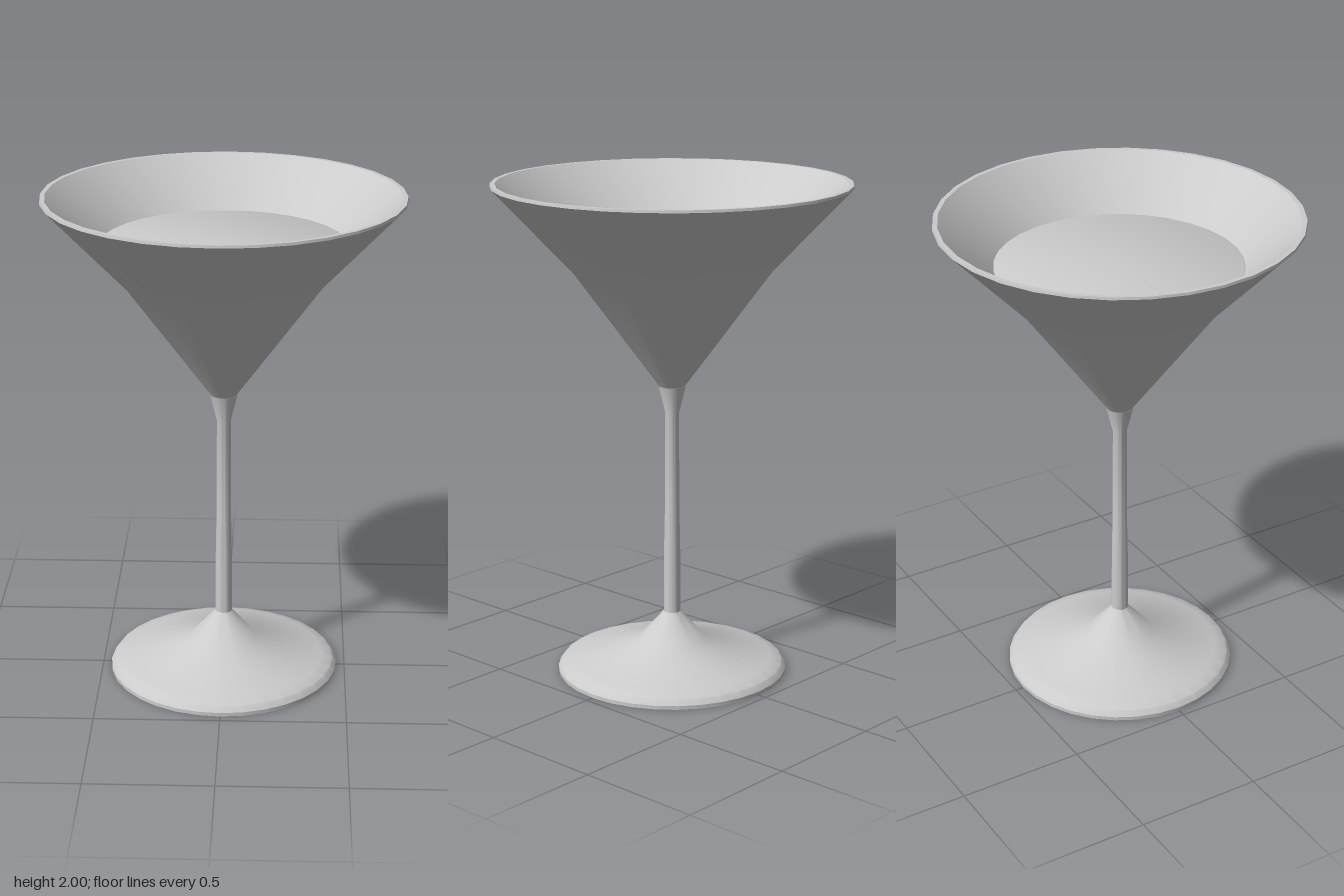
import * as THREE from 'three';
import { toCreasedNormals } from 'three/addons/utils/BufferGeometryUtils.js';

const SIDES = 32;

// Turned part from a radius/height profile, listed so that faces point outward
function turned(name, profile, material) {
  const points = profile.map(([r, y]) => new THREE.Vector2(r, y));
  const geometry = toCreasedNormals(new THREE.LatheGeometry(points, SIDES), 0.6);
  const mesh = new THREE.Mesh(geometry, material);
  mesh.name = name;
  return mesh;
}

export function createModel() {
  const group = new THREE.Group();
  group.name = 'cocktailGlass';
  const material = new THREE.MeshStandardMaterial({ color: 0xcccccc });

  // Wide foot rising in a shallow cone, then a steeper one up to the stem
  group.add(turned('foot', [
    [0, 0], [0.466, 0], [0.466, 0.015], [0.45, 0.037], [0.4, 0.055],
    [0.14, 0.125], [0.034, 0.245],
  ], material));

  // Slim stem with a flared neck
  group.add(turned('stem', [
    [0.034, 0.245], [0.033, 0.5], [0.029, 0.7], [0.028, 1.08], [0.055, 1.19],
  ], material));

  // Bowl: outer wall, narrow rim, inner wall
  group.add(turned('bowl', [
    [0.052, 1.19], [0.395, 1.66], [0.707, 1.99], [0.705, 2], [0.687, 2],
    [0.485, 1.81], [0.35, 1.66], [0, 1.25],
  ], material));

  // Drink filling the lower part of the bowl
  const drink = turned('drink', [
    [0, 1.26], [0.345, 1.66], [0.476, 1.802], [0.483, 1.806], [0.475, 1.81], [0, 1.81],
  ], material);
  drink.position.set(-0.003, 0, -0.006);
  group.add(drink);

  return group;
}
